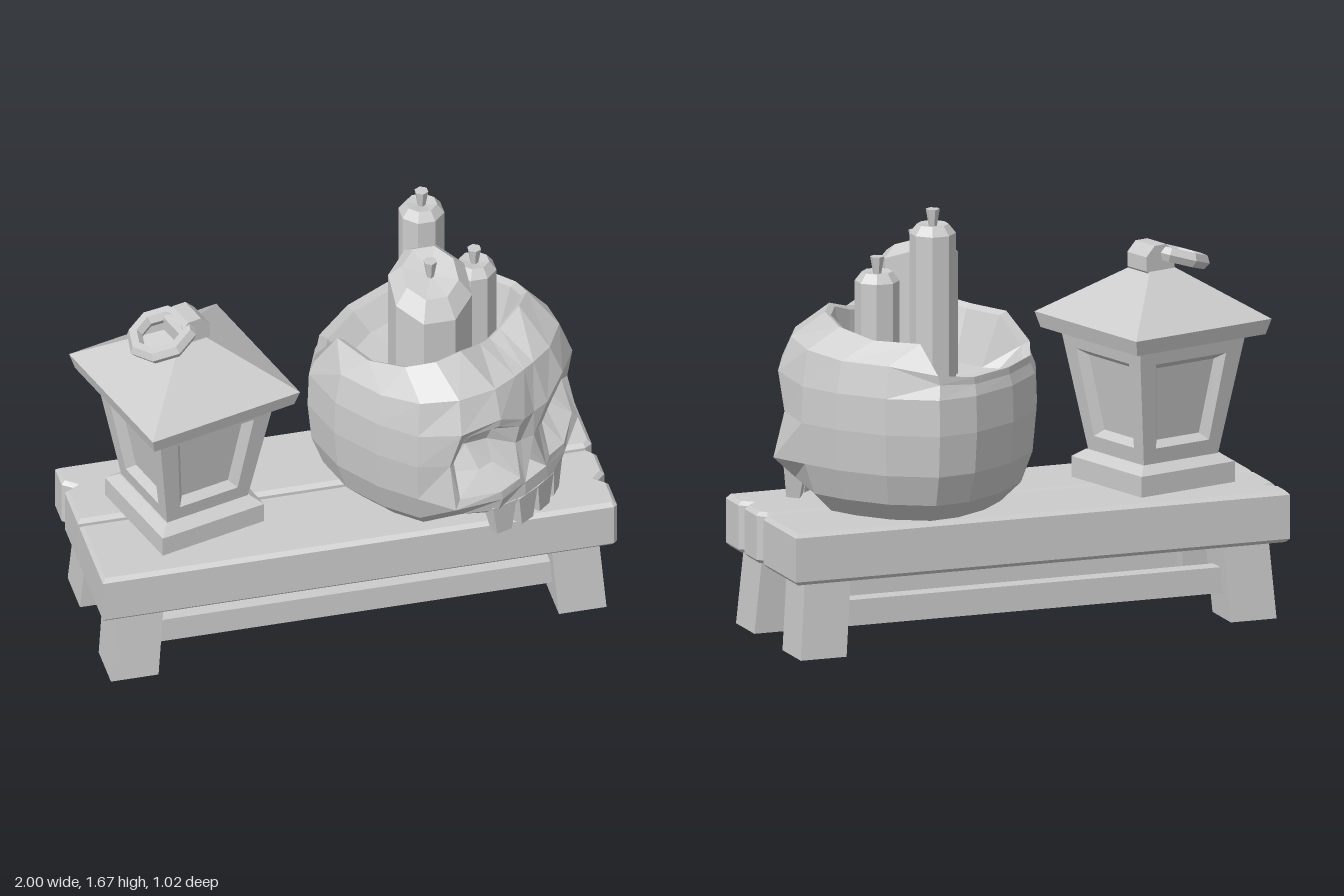
import * as THREE from 'three';

const mat = new THREE.MeshStandardMaterial({ color: 0xcccccc, flatShading: true });
const V = (x, y, z) => new THREE.Vector3(x, y, z);

function add(parent, name, geo, x = 0, y = 0, z = 0) {
  const m = new THREE.Mesh(geo, mat);
  m.name = name;
  m.position.set(x, y, z);
  parent.add(m);
  return m;
}

// Collects faces, given counter-clockwise from outside
function faceBuilder() {
  const pos = [];
  const tri = (...p) => p.forEach(v => pos.push(v.x, v.y, v.z));
  const quad = (a, b, c, d) => { tri(a, b, c); tri(a, c, d); };
  const strip = (A, B) => A.forEach((a, i) => {
    const j = (i + 1) % A.length;
    quad(a, A[j], B[j], B[i]);
  });
  const cap = (A, c) => A.forEach((a, i) => tri(a, A[(i + 1) % A.length], c));
  const geometry = () => {
    const g = new THREE.BufferGeometry();
    g.setAttribute('position', new THREE.Float32BufferAttribute(pos, 3));
    g.computeVertexNormals();
    return g;
  };
  return { tri, quad, strip, cap, geometry };
}

// Square frustum given by half widths
function frustum(bottom, top, h) {
  return new THREE.CylinderGeometry(top * Math.SQRT2, bottom * Math.SQRT2, h, 4).rotateY(Math.PI / 4);
}

function makeBench() {
  const bench = new THREE.Group();
  bench.name = 'bench';
  // Plank outlines in x and z, with a split in one end
  const outlines = {
    frontPlank: [[-1, 0.36], [0.985, 0.36], [1, 0.345], [1, 0.215], [0.965, 0.185], [1, 0.15], [1, 0.03], [0.97, -0.005], [-1, -0.005]],
    backPlank: [[-1, -0.025], [0.97, -0.025], [1, -0.045], [1, -0.38], [-1, -0.38], [-1, -0.28], [-0.96, -0.25], [-1, -0.23]],
  };
  for (const [name, pts] of Object.entries(outlines)) {
    const shape = new THREE.Shape(pts.map(([x, z]) => new THREE.Vector2(x, -z)));
    const geo = new THREE.ExtrudeGeometry(shape, {
      depth: 0.17, bevelSize: 0.015, bevelOffset: -0.015, bevelThickness: 0.015, bevelSegments: 1,
    }).rotateX(-Math.PI / 2);
    add(bench, name, geo, 0, 0.315, 0);
  }
  add(bench, 'plankJoint', new THREE.BoxGeometry(1.94, 0.16, 0.07), 0, 0.38, -0.015);
  // Splayed legs and the rails between them
  for (const sz of [1, -1]) {
    for (const sx of [1, -1]) {
      const geo = new THREE.BoxGeometry(0.185, 0.31, 0.19);
      const p = geo.attributes.position;
      for (let i = 0; i < p.count; i++) {
        if (p.getY(i) < 0) p.setXYZ(i, p.getX(i) + sx * 0.025, p.getY(i), p.getZ(i) + sz * 0.02);
      }
      add(bench, 'leg', geo, sx * 0.845, 0.155, sz * 0.22);
    }
    add(bench, 'rail', new THREE.BoxGeometry(1.58, 0.1, 0.07), 0, 0.15, sz * 0.23);
  }
  return bench;
}

function makeLantern() {
  const lantern = new THREE.Group();
  lantern.name = 'lantern';
  lantern.position.set(-0.59, 0, -0.01);
  lantern.rotation.y = 0.272;
  add(lantern, 'lanternBase', frustum(0.22, 0.22, 0.08), 0, 0.54, 0);
  add(lantern, 'lanternBaseBevel', frustum(0.22, 0.18, 0.03), 0, 0.595, 0);

  // Tapered body with a recessed window on each side
  const b = faceBuilder();
  const wall = y => 0.175 + (y - 0.61) / 0.46 * 0.073;
  for (let s = 0; s < 4; s++) {
    const loop = (y0, w0, y1, w1, depth) =>
      [[-w0, y0], [w0, y0], [w1, y1], [-w1, y1]].map(([x, y]) =>
        V(x, y, wall(y) - depth).applyAxisAngle(V(0, 1, 0), s * Math.PI / 2));
    const outer = loop(0.61, wall(0.61), 1.07, wall(1.07), 0);
    const rim = loop(0.67, 0.125, 1.01, 0.165, 0);
    const pane = loop(0.695, 0.1, 0.985, 0.135, 0.035);
    b.strip(outer, rim);
    b.strip(rim, pane);
    b.quad(...pane);
  }
  add(lantern, 'lanternBody', b.geometry());

  add(lantern, 'eave', frustum(0.303, 0.319, 0.06), 0, 1.105, 0);
  add(lantern, 'roof', frustum(0.319, 0.055, 0.19), 0, 1.23, 0);
  add(lantern, 'knob', new THREE.CylinderGeometry(0.072, 0.072, 0.12, 8).rotateY(Math.PI / 8).rotateX(Math.PI / 2), 0.01, 1.352, 0);
  add(lantern, 'ring', new THREE.TorusGeometry(0.108, 0.031, 6, 8).rotateX(Math.PI / 2).rotateZ(0.3), -0.1, 1.355, 0);
  return lantern;
}

function makeSkull() {
  const skull = new THREE.Group();
  skull.name = 'skull';
  skull.position.set(0.4, 0, -0.01);
  skull.rotation.y = 0.665;

  // Half outline at the widest level, from face to back
  const plan = [[0, 0.45], [0.06, 0.45], [0.18, 0.44], [0.33, 0.37], [0.42, 0.22], [0.45, 0.05], [0.44, -0.16], [0.36, -0.35], [0.22, -0.43], [0, -0.46]];
  // Broken upper edge: high forehead, a spur on each side, low back
  const rim = [[0, 1.23, 0.24], [0.06, 1.24, 0.24], [0.18, 1.275, 0.24], [0.28, 1.265, 0.2], [0.34, 1.23, 0.1], [0.36, 1.2, -0.06], [0.32, 1.2, -0.24], [0.34, 1.09, -0.33], [0.21, 1.07, -0.41], [0, 1.07, -0.44]].map(p => V(...p));
  const levels = [[0.505, 0.72], [0.58, 0.88], [0.7, 0.97], [0.86, 1], [1.0, 0.99]];
  // Face points for the first four columns of each level
  const face = [
    [[0, 0.58, 0.42], [0.07, 0.58, 0.42], [0.17, 0.57, 0.37], [0.23, 0.54, 0.25]],
    [[0, 0.62, 0.465], [0.07, 0.62, 0.465], [0.19, 0.62, 0.43], [0.28, 0.61, 0.33]],
    [[0, 0.69, 0.46], [0.065, 0.69, 0.46], [0.19, 0.68, 0.45], [0.375, 0.7, 0.37]],
    [[0, 0.87, 0.45], [0.055, 0.87, 0.43], [0.19, 0.86, 0.4], [0.36, 0.88, 0.33]],
    [[0, 0.98, 0.45], [0.07, 0.99, 0.46], [0.19, 1.05, 0.44], [0.34, 1.03, 0.37]],
  ];
  const half = levels.map(([y, s], r) => plan.map(([x, z], c) =>
    c < 4 ? V(...face[r][c]) : V(x * s, y, z * s)));
  half.push(plan.map(([x, z], c) => {
    const y = 1 + (rim[c].y - 1) * 0.6;
    return V(x * 0.93, c < 4 ? 1.16 : y, z * (c < 4 ? 0.9 : 0.96));
  }));
  half.push(rim);
  // Rim thickness, then the hollow inside
  half.push(rim.map(p => V(p.x * 0.93, p.y - 0.015, p.z * 0.93)));
  half.push(rim.map(p => V(p.x * 0.75, 0.99, p.z * 0.75)));

  const n = 18;
  const rows = half.map(h => [...h, ...h.slice(1, 9).reverse().map(p => V(-p.x, p.y, p.z))]);
  const at = (r, k) => rows[r][(k + n) % n];

  const b = faceBuilder();
  for (let r = 0; r < rows.length - 1; r++) {
    for (let k = 0; k < n; k++) {
      const c = Math.min(k, n - 1 - k);
      const eye = (r === 2 || r === 3) && (c === 1 || c === 2);
      const nose = r === 2 && c === 0;
      if (!eye && !nose) b.quad(at(r, k), at(r, k + 1), at(r + 1, k + 1), at(r + 1, k));
    }
  }
  b.cap([...rows[0]].reverse(), V(0, 0.505, 0));
  b.cap(rows[rows.length - 1], V(0, 0.96, -0.05));

  // Eye sockets: surface ring, rim, then the deep back
  for (const s of [1, -1]) {
    const loop = [[2, 1], [2, 2], [2, 3], [3, 3], [4, 3], [4, 2], [4, 1], [3, 1]].map(([r, c]) => at(r, s * c));
    if (s < 0) loop.reverse();
    const ring = (f, depth) => loop.map(p =>
      V(s * 0.2 + (p.x - s * 0.2) * f, 0.87 + (p.y - 0.87) * f, p.z - depth));
    const edge = ring(0.82, 0.005), deep = ring(0.52, 0.11);
    b.strip(loop, edge);
    b.strip(edge, deep);
    b.cap(deep, V(s * 0.19, 0.86, 0.27));
  }
  // Triangular nose opening
  const apex = at(3, 0), nl = at(2, -1), nr = at(2, 1);
  b.tri(nr, at(3, 1), apex);
  b.tri(nl, apex, at(3, -1));
  const open = [nl, at(2, 0), nr, apex];
  const deep = open.map(p => V(p.x * 0.6, 0.75 + (p.y - 0.75) * 0.7, p.z - 0.1));
  b.strip(open, deep);
  b.quad(...deep);
  add(skull, 'cranium', b.geometry());

  // Wedge-shaped upper teeth along the jaw
  for (const [x, z, turn] of [[-0.15, 0.405, -0.35], [-0.051, 0.43, -0.06], [0.051, 0.43, 0.06], [0.15, 0.405, 0.35]]) {
    add(skull, 'tooth', frustum(0.032, 0.052, 0.13).scale(1, 1, 0.8), x, 0.567, z).rotation.set(-0.08, turn, 0);
  }
  return skull;
}

// Candle with a bevelled, optionally slanted top and a flared wick
function makeCandle(x, z, r, shoulder, top, slope = 0) {
  const candle = new THREE.Group();
  candle.name = 'candle';
  candle.position.set(x, 0, z);
  const pts = [[0, 0.9], [r, 0.9], [r, shoulder], [r * 0.68, top], [0, top - 0.01]];
  const geo = new THREE.LatheGeometry(pts.map(p => new THREE.Vector2(...p)), 8).rotateY(Math.PI / 8);
  const p = geo.attributes.position;
  for (let i = 0; i < p.count; i++) {
    if (p.getY(i) > 1) p.setY(i, p.getY(i) - slope * p.getZ(i));
  }
  add(candle, 'wax', geo);
  add(candle, 'wick', new THREE.CylinderGeometry(0.027, 0.014, 0.075, 6), 0, top + 0.02, 0);
  return candle;
}

export function createModel() {
  const model = new THREE.Group();
  model.name = 'lanternAndSkullBench';
  model.add(
    makeBench(), makeLantern(), makeSkull(),
    makeCandle(0.35, 0.045, 0.16, 1.42, 1.475, 0.47),
    makeCandle(0.38, -0.21, 0.088, 1.58, 1.615),
    makeCandle(0.55, -0.07, 0.085, 1.38, 1.415),
  );
  return model;
}
